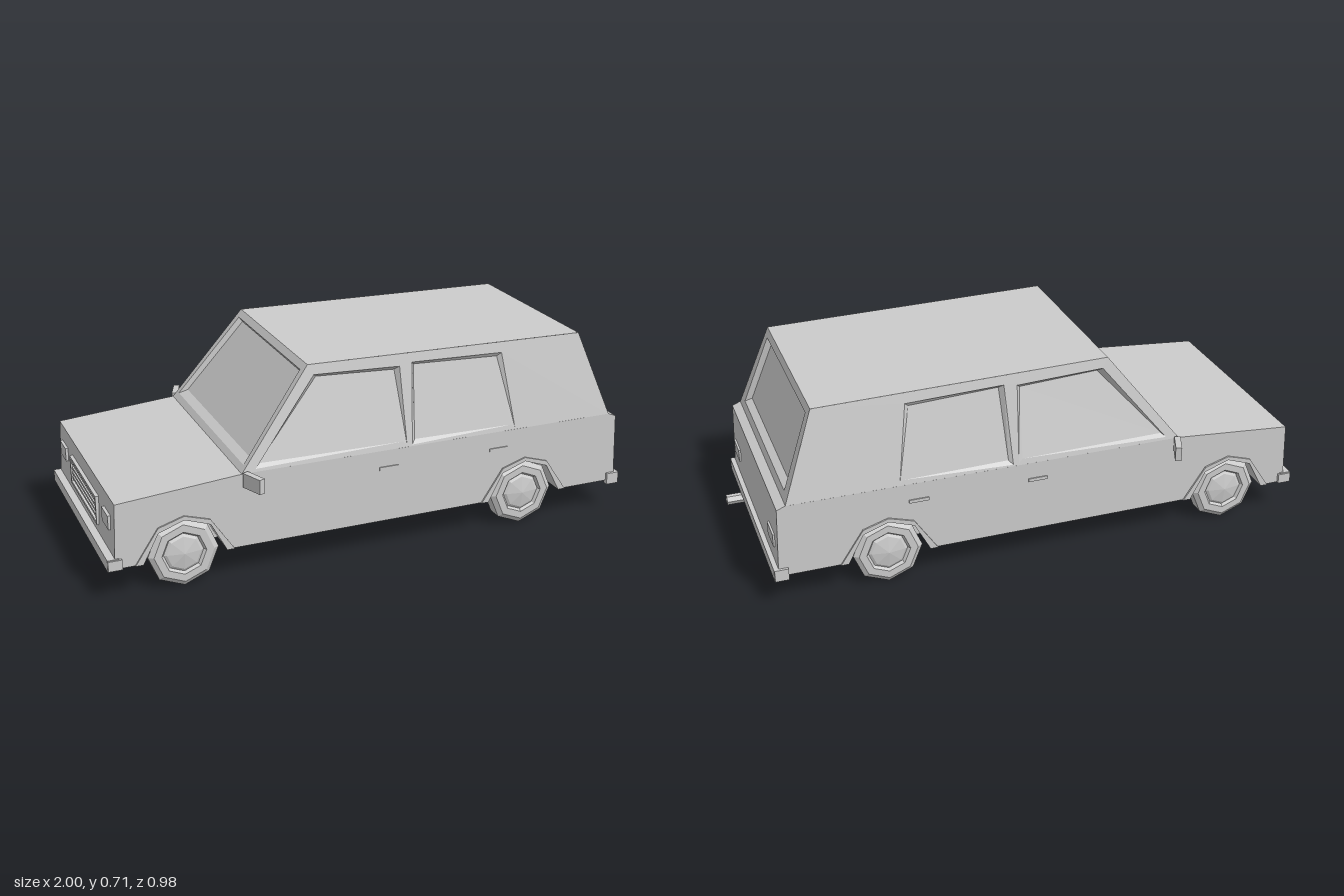
import * as THREE from 'three';

const grey = new THREE.MeshStandardMaterial({ color: 0xcccccc, flatShading: true });
const V = (x, y, z) => new THREE.Vector3(x, y, z);
const P = (list) => list.map(([a, b]) => new THREE.Vector2(a, b));

function add(parent, name, geometry, x = 0, y = 0, z = 0) {
  const mesh = new THREE.Mesh(geometry, grey);
  mesh.name = name;
  mesh.position.set(x, y, z);
  parent.add(mesh);
  return mesh;
}

const box = (parent, name, w, h, d, x, y, z) =>
  add(parent, name, new THREE.BoxGeometry(w, h, d), x, y, z);

// Outline in x/y extruded between two z values
function slab(points, z0, z1) {
  const geometry = new THREE.ExtrudeGeometry(new THREE.Shape(P(points)), { depth: z1 - z0, bevelEnabled: false });
  return geometry.translate(0, 0, z0);
}

// Flat panel with recessed windows: map() lifts 2D points to 3D, inward is the recess direction
function panel(outline, windows, map, inward, mirror = false) {
  const tris = [];
  const contour = P(outline);
  const holes = windows.map((w) => P(w.points).reverse());
  const all = [contour, ...holes].flat().map((p) => map(p.x, p.y));
  for (const face of THREE.ShapeUtils.triangulateShape(contour, holes)) tris.push(face.map((i) => all[i]));
  for (const { points, depths, inset } of windows) {
    const cx = points.reduce((s, p) => s + p[0], 0) / 4;
    const cy = points.reduce((s, p) => s + p[1], 0) / 4;
    const rim = points.map(([a, b]) => map(a, b));
    const glass = points.map(([a, b], i) =>
      map(a + Math.sign(cx - a) * inset, b + Math.sign(cy - b) * inset).addScaledVector(inward, depths[i]));
    for (let i = 0; i < 4; i++) {
      const j = (i + 1) % 4;
      tris.push([rim[i], rim[j], glass[j]], [rim[i], glass[j], glass[i]]);
    }
    tris.push([glass[0], glass[1], glass[2]], [glass[0], glass[2], glass[3]]);
  }
  const positions = [];
  for (const t of tris) {
    for (const p of mirror ? [t[0], t[2], t[1]] : t) positions.push(p.x, p.y, mirror ? -p.z : p.z);
  }
  const geometry = new THREE.BufferGeometry();
  geometry.setAttribute('position', new THREE.Float32BufferAttribute(positions, 3));
  geometry.computeVertexNormals();
  return geometry;
}

const WHEELS = [-0.735, 0.545];
const BOTTOM = 0.115;

function buildLowerBody(car) {
  const top = [[0.93, BOTTOM], [0.92, 0.37], [0.89, 0.382], [-0.53, 0.38], [-0.965, 0.345], [-0.975, BOTTOM]];
  const arch = [[-0.145, BOTTOM], [-0.09, 0.22], [0, 0.252], [0.09, 0.22], [0.145, BOTTOM]];
  const outer = [[0.172, BOTTOM], [0.09, 0.238], [0, 0.266], [-0.09, 0.238], [-0.172, BOTTOM]];
  const at = (pts, cx) => pts.map(([x, y]) => [x + cx, y]);

  add(car, 'bodyCore', slab(top, -0.3, 0.3));
  const side = [...top, ...at(arch, WHEELS[0]), ...at(arch, WHEELS[1])];
  for (const s of [1, -1]) {
    const span = (a, b) => (s > 0 ? [a, b] : [-b, -a]);
    add(car, 'bodySide', slab(side, ...span(0.3, 0.4)));
    // Wheel arch lips
    for (const cx of WHEELS) add(car, 'archLip', slab(at([...arch, ...outer], cx), ...span(0.38, 0.406)));
    // Door handles
    for (const x of [0.005, 0.435]) box(car, 'doorHandle', 0.07, 0.012, 0.008, x, 0.315, s * 0.4);
  }
}

function buildCabin(car) {
  const sideMap = (x, y) => V(x, y, 0.4 - (y - 0.38) * 0.06 / 0.33);
  const sideOutline = [[-0.53, 0.38], [0.89, 0.38], [0.775, 0.692], [-0.27, 0.71]];
  const sideWindows = [
    { points: [[-0.48, 0.39], [0.075, 0.388], [0.065, 0.662], [-0.25, 0.674]], depths: [0.008, 0, 0.018, 0.022], inset: 0.014 },
    { points: [[0.095, 0.386], [0.5, 0.386], [0.46, 0.66], [0.112, 0.67]], depths: [0.01, 0, 0.012, 0.02], inset: 0.014 },
  ];
  for (const mirror of [false, true]) {
    add(car, 'cabinSide', panel(sideOutline, sideWindows, sideMap, V(0, 0, -1), mirror));
  }
  const trapezoid = (w0, y0, w1, y1) => [[-w0, y0], [w0, y0], [w1, y1], [-w1, y1]];
  const framed = (points) => [{ points, depths: [0.02, 0.02, 0.02, 0.02], inset: 0.014 }];

  add(car, 'windscreen', panel(trapezoid(0.4, 0.38, 0.34, 0.71), framed(trapezoid(0.372, 0.4, 0.315, 0.688)),
    (a, y) => V(-0.53 + (y - 0.38) * 0.26 / 0.33, y, a), V(1, 0, 0)));
  add(car, 'rearScreen', panel(trapezoid(0.4, 0.38, 0.343, 0.692), framed(trapezoid(0.345, 0.408, 0.31, 0.665)),
    (a, y) => V(0.89 - (y - 0.38) * 0.115 / 0.312, y, -a), V(-1, 0, 0)));
  add(car, 'roof', panel([[-0.27, -0.34], [0.775, -0.343], [0.775, 0.343], [-0.27, 0.34]], [],
    (x, a) => V(x, 0.71 - (x + 0.27) * 0.018 / 1.045, -a), V(0, -1, 0)));
}

function buildWheels(car) {
  // Eight-sided tyre with chamfered shoulders and a domed hub
  const profile = [[0, -0.04], [0.105, -0.04], [0.123, -0.028], [0.123, 0.028], [0.105, 0.04],
    [0.078, 0.04], [0.07, 0.03], [0.06, 0.036], [0, 0.046]];
  for (const x of WHEELS) {
    for (const s of [1, -1]) {
      const wheel = add(car, 'wheel', new THREE.LatheGeometry(P(profile), 8), x, 0.123, s * 0.35);
      wheel.rotation.x = s * Math.PI / 2;
    }
  }
}

function buildTrim(car) {
  // Bumpers with wrapped ends
  box(car, 'frontBumper', 0.04, 0.042, 0.81, -0.98, 0.132, 0);
  box(car, 'rearBumper', 0.035, 0.043, 0.81, 0.928, 0.123, 0);
  for (const s of [1, -1]) {
    box(car, 'frontBumperEnd', 0.048, 0.036, 0.02, -0.975, 0.132, s * 0.4);
    box(car, 'rearBumperEnd', 0.048, 0.043, 0.02, 0.92, 0.123, s * 0.4);
    box(car, 'headlight', 0.02, 0.05, 0.085, -0.968, 0.262, s * 0.31);
    box(car, 'tailLight', 0.016, 0.047, 0.093, 0.924, 0.228, s * 0.307);
    // Door mirrors, angled outwards
    const mirror = box(car, 'doorMirror', 0.022, 0.052, 0.085, -0.505, 0.363, s * 0.448);
    mirror.rotation.y = s * 0.38;
  }
  // Grille frame and bars
  for (const y of [0.19, 0.285]) box(car, 'grilleFrame', 0.016, 0.01, 0.38, -0.972, y, 0);
  for (const s of [1, -1]) box(car, 'grilleFrame', 0.016, 0.105, 0.01, -0.972, 0.2375, s * 0.187);
  for (let i = 0; i < 4; i++) box(car, 'grilleBar', 0.01, 0.009, 0.36, -0.971, 0.209 + i * 0.019, 0);
}

function buildExhaust(car) {
  // Six-sided silencer, open tailpipe and feed pipe
  const along = (profile, name) => {
    const geometry = new THREE.LatheGeometry(P(profile), 6);
    geometry.rotateZ(-Math.PI / 2);
    add(car, name, geometry, 0, 0.083, 0.21);
  };
  along([[0, 0.765], [0.03, 0.765], [0.04, 0.78], [0.04, 0.89], [0.03, 0.9], [0, 0.9]], 'silencer');
  along([[0.019, 0.89], [0.019, 1], [0.012, 1], [0.012, 0.92], [0, 0.92]], 'tailpipe');
  const path = new THREE.CatmullRomCurve3([V(0.71, 0.135, 0.21), V(0.74, 0.1, 0.21), V(0.79, 0.083, 0.21)]);
  add(car, 'feedPipe', new THREE.TubeGeometry(path, 4, 0.018, 6));
}

export function createModel() {
  const car = new THREE.Group();
  car.name = 'car';
  buildLowerBody(car);
  buildCabin(car);
  buildWheels(car);
  buildTrim(car);
  buildExhaust(car);
  return car;
}
